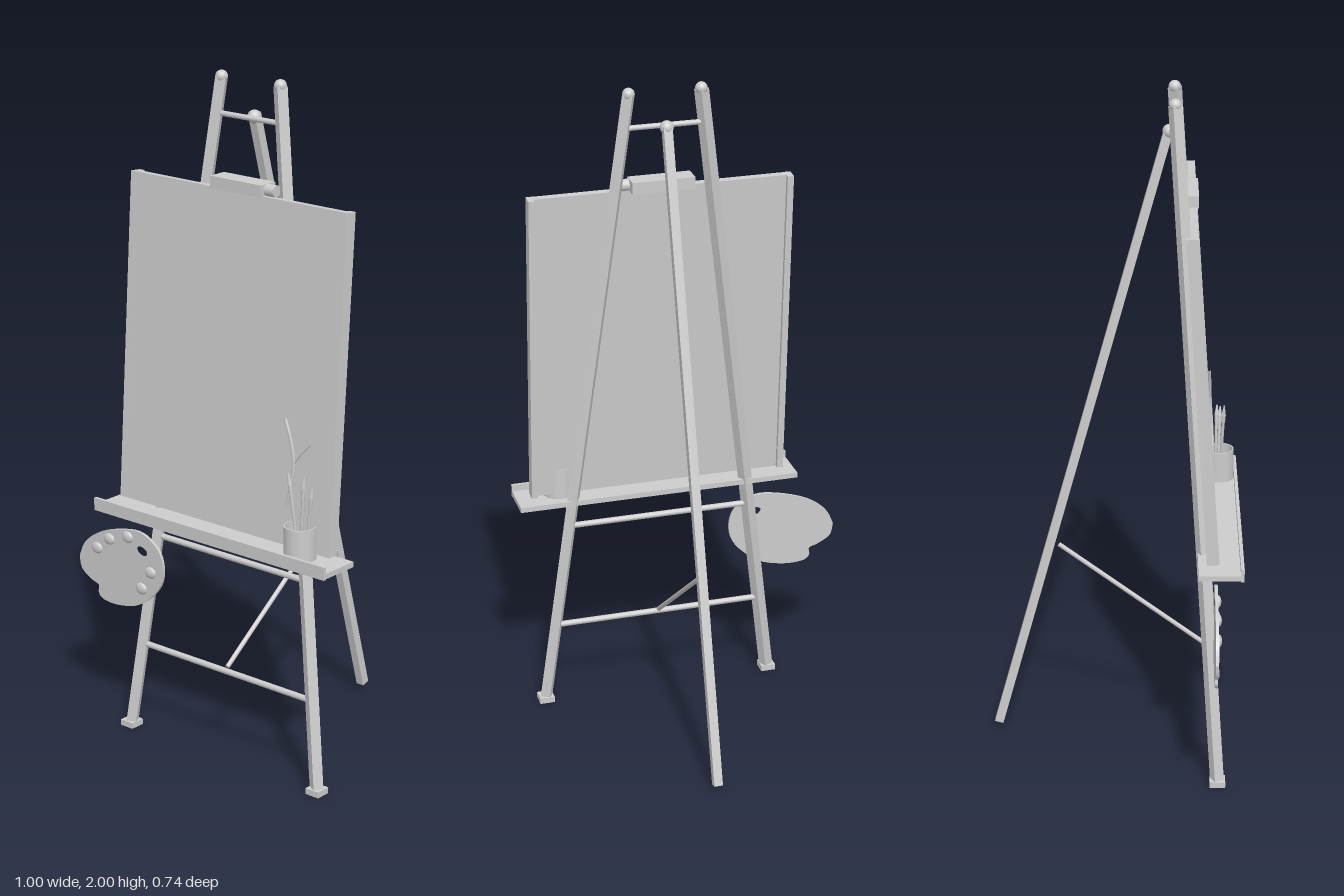
import * as THREE from 'three';

const V = (x, y, z) => new THREE.Vector3(x, y, z);

export function createModel() {
  const root = new THREE.Group();
  const grey = new THREE.MeshStandardMaterial({ color: 0xcccccc });
  grey.name = 'plain grey';
  const cupGrey = grey.clone();
  cupGrey.name = 'plain grey open';
  cupGrey.side = THREE.DoubleSide;
  const CX = 0.065; // middle of the easel

  function add(name, geo, pos, parent = root, mat = grey) {
    const m = new THREE.Mesh(geo, mat);
    m.name = name;
    if (pos) m.position.copy(pos);
    parent.add(m);
    return m;
  }
  // square beam between two points
  function beam(name, a, b, w) {
    const m = add(name, new THREE.BoxGeometry(w, w, a.distanceTo(b)), a.clone().lerp(b, 0.5));
    m.lookAt(b);
    return m;
  }
  // round, optionally tapered, rod from a to b
  function rod(name, a, b, r, r2 = r, parent = root) {
    const g = new THREE.CylinderGeometry(r2, r, a.distanceTo(b), 12).rotateX(Math.PI / 2);
    const m = add(name, g, a.clone().lerp(b, 0.5), parent);
    m.lookAt(b);
    return m;
  }
  const ball = (r) => new THREE.SphereGeometry(r, 20, 14);

  // front legs with feet and round tips
  const legZ = (y) => 0.302 - 0.069 * y;
  const legX = (y) => 0.36 - 0.128 * y;
  for (const s of [-1, 1]) {
    const side = s > 0 ? 'left' : 'right';
    beam(side + 'FrontLeg', V(CX + s * legX(0.01), 0.01, legZ(0.01)), V(CX + s * legX(1.98), 1.98, legZ(1.98)), 0.03);
    add(side + 'Foot', new THREE.BoxGeometry(0.046, 0.018, 0.046), V(CX + s * 0.36, 0.009, 0.302));
    add(side + 'LegTip', ball(0.018), V(CX + s * legX(1.982), 1.982, legZ(1.982)));
  }

  // cross bars
  for (const [y, r] of [[0.27, 0.009], [0.615, 0.009], [1.88, 0.008]])
    rod('crossBar', V(CX - legX(y), y, legZ(y)), V(CX + legX(y), y, legZ(y)), r);

  // rear leg, hinge and brace
  beam('rearLeg', V(CX, 0.02, -0.357), V(CX, 1.89, 0.15), 0.026);
  add('hinge', ball(0.02), V(CX, 1.88, 0.15));
  rod('brace', V(CX, 0.28, 0.275), V(CX, 0.61, -0.17), 0.007);

  // leaning canvas with side bars
  const canvas = new THREE.Group();
  canvas.name = 'canvas';
  canvas.position.set(CX, 1.2025, 0.252);
  canvas.rotation.x = -0.0705;
  root.add(canvas);
  add('canvasPanel', new THREE.BoxGeometry(0.786, 0.965, 0.022), null, canvas);
  for (const s of [-1, 1])
    add('stretcherBar', new THREE.BoxGeometry(0.019, 0.965, 0.036), V(s * 0.385, 0, -0.006), canvas);

  // top clamp and its knob
  add('clamp', new THREE.BoxGeometry(0.187, 0.035, 0.06), V(0.067, 1.698, 0.204));
  add('clampKnob', new THREE.CylinderGeometry(0.017, 0.017, 0.034, 16).rotateZ(Math.PI / 2), V(0.18, 1.7, 0.21));

  // tray with front lip
  add('tray', new THREE.BoxGeometry(0.868, 0.016, 0.128), V(CX, 0.697, 0.302));
  add('trayLip', new THREE.BoxGeometry(0.868, 0.038, 0.01), V(CX, 0.706, 0.363));

  // palette with thumb hole and paint blobs
  const outline = [
    [-0.505, 0.49], [-0.48, 0.54], [-0.42, 0.585], [-0.33, 0.615], [-0.25, 0.622], [-0.185, 0.585],
    [-0.165, 0.525], [-0.185, 0.46], [-0.26, 0.395], [-0.34, 0.372], [-0.405, 0.373], [-0.428, 0.39],
    [-0.428, 0.415], [-0.455, 0.425], [-0.495, 0.45]
  ].map((p) => new THREE.Vector2(...p));
  const curve = new THREE.SplineCurve([...outline, outline[0]]);
  const shape = new THREE.Shape(curve.getPoints(75));
  const hole = new THREE.Path();
  hole.absellipse(-0.247, 0.567, 0.02, 0.012, 0, Math.PI * 2, true, -0.3);
  shape.holes.push(hole);
  add('palette', new THREE.ExtrudeGeometry(shape, { depth: 0.009, bevelEnabled: false, curveSegments: 20 }), V(0, 0, 0.287));
  for (const [x, y] of [[-0.43, 0.533], [-0.38, 0.573], [-0.305, 0.597], [-0.215, 0.507], [-0.252, 0.448]])
    add('paintBlob', ball(0.021), V(x, y, 0.296)).scale.set(1, 0.85, 0.45);

  // brush cup: hollow, with a floor
  const wall = [[0, 0.004], [0.042, 0.004], [0.042, 0.095], [0.046, 0.095], [0.046, 0], [0, 0]];
  const profile = [];
  wall.forEach((p, i) => { // doubled corners keep the rim crisp
    profile.push(new THREE.Vector2(...p));
    if (i > 0 && i < 5) profile.push(new THREE.Vector2(...p));
  });
  const C = V(0.367, 0.705, 0.311);
  add('brushCup', new THREE.LatheGeometry(profile, 28), C, root, cupGrey);

  // brushes: handle, ferrule and bristles
  for (const [x0, z0, x1, z1, top] of [
    [0.365, 0.315, 0.337, 0.325, 0.95], [0.36, 0.3, 0.375, 0.304, 0.94], [0.387, 0.31, 0.413, 0.315, 0.92]
  ]) {
    const brush = new THREE.Group();
    brush.name = 'brush';
    root.add(brush);
    const a = V(x0, 0.712, z0), b = V(x1, top, z1);
    const at = (t) => a.clone().lerp(b, t);
    rod('handle', a, at(0.76), 0.004, 0.005, brush);
    rod('ferrule', at(0.76), at(0.86), 0.006, 0.006, brush);
    rod('bristles', at(0.86), b, 0.007, 0.002, brush);
  }

  // painted twig standing proud of the canvas
  const twig = (pts, r) => add('twig', new THREE.TubeGeometry(
    new THREE.CatmullRomCurve3(pts), 16, r, 8));
  twig([V(0.3, 0.835, 0.29), V(0.315, 0.9, 0.287), V(0.32, 0.97, 0.282), V(0.303, 1.04, 0.279), V(0.285, 1.085, 0.277)], 0.005);
  twig([V(0.318, 0.96, 0.282), V(0.345, 0.995, 0.281), V(0.377, 1.03, 0.278)], 0.003);

  return root;
}
